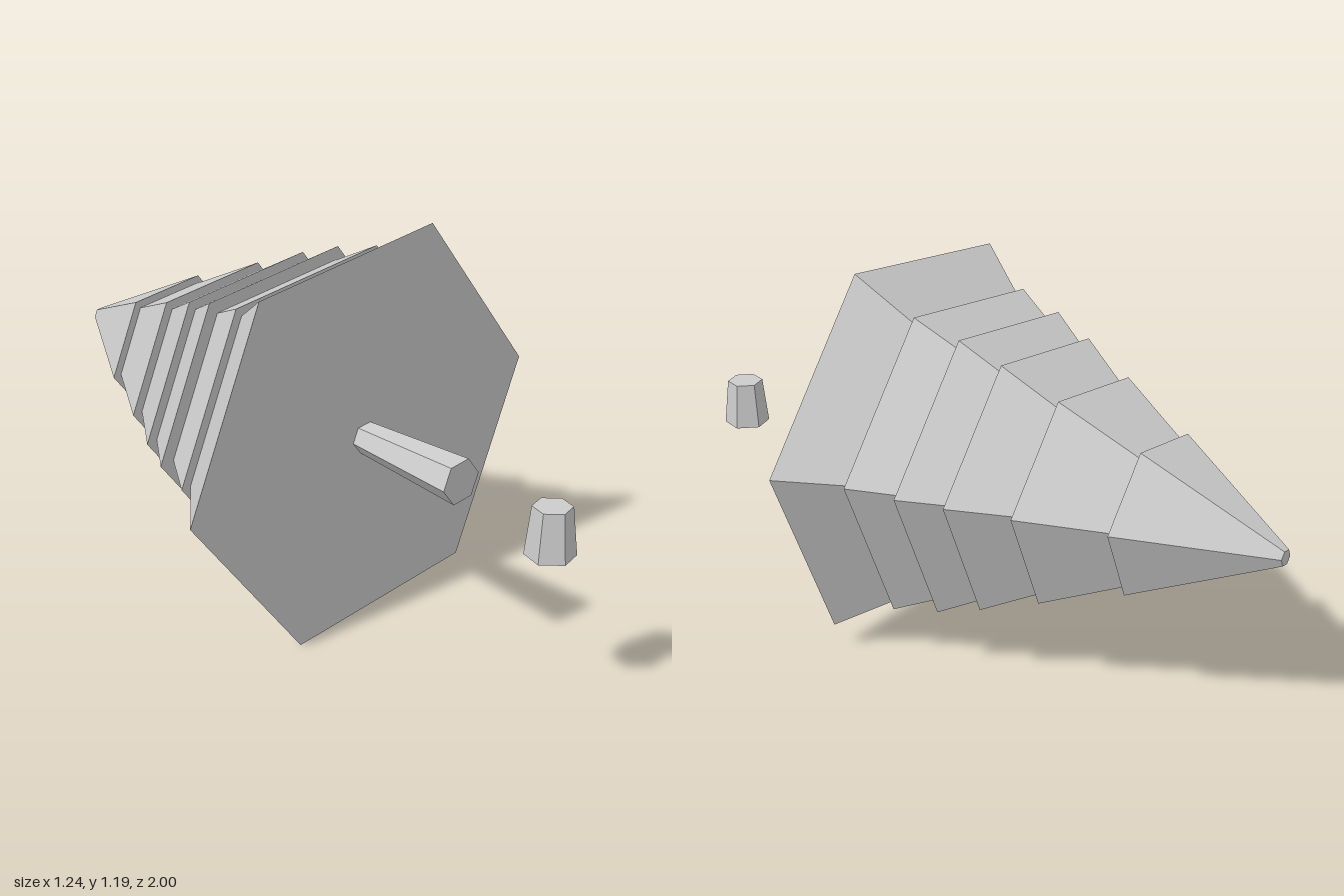
import * as THREE from 'three';

const material = new THREE.MeshStandardMaterial({ color: 0xcccccc, flatShading: true });

// Six-sided tapered block running from y0 to y1 along its own y axis
function taperedHex(name, r0, r1, y0, y1, turn = 0) {
  const geometry = new THREE.CylinderGeometry(r1, r0, y1 - y0, 6, 1, false, turn);
  geometry.translate(0, (y0 + y1) / 2, 0);
  const mesh = new THREE.Mesh(geometry, material);
  mesh.name = name;
  return mesh;
}

export function createModel() {
  const model = new THREE.Group();
  model.name = 'felledTree';

  // Tree lying on its side, its tip pointing back and slightly to one side
  const tree = new THREE.Group();
  tree.name = 'tree';
  const axis = new THREE.Vector3(-0.242, 0, -0.97).normalize();
  const up = new THREE.Vector3(0, 1, 0);
  const side = new THREE.Vector3().crossVectors(axis, up);
  tree.quaternion.setFromRotationMatrix(new THREE.Matrix4().makeBasis(side, axis, up));
  tree.position.set(0, 0.6, 0.286);
  model.add(tree);
  const turn = THREE.MathUtils.degToRad(22.85);

  // Foliage tiers: [start along the trunk, lower radius, upper radius]
  const tiers = [
    [0, 0.645, 0.5],
    [0.184, 0.532, 0.445],
    [0.336, 0.491, 0.403],
    [0.472, 0.438, 0.325],
    [0.65, 0.358, 0.221],
    [0.902, 0.249, 0.025],
  ];
  const tip = 1.322;
  tiers.forEach(([start, lower, upper], i) => {
    const end = i + 1 < tiers.length ? tiers[i + 1][0] : tip;
    tree.add(taperedHex(`foliageTier${i + 1}`, lower, upper, start, end, turn));
  });

  // Trunk, widening towards its cut end
  tree.add(taperedHex('trunk', 0.068, 0.048, -0.388, 0, turn));

  // Separate upright stump in front of the trunk
  const stump = taperedHex('stump', 0.072, 0.056, 0, 0.145);
  stump.position.set(0.216, 0.472, 0.927);
  model.add(stump);

  return model;
}
